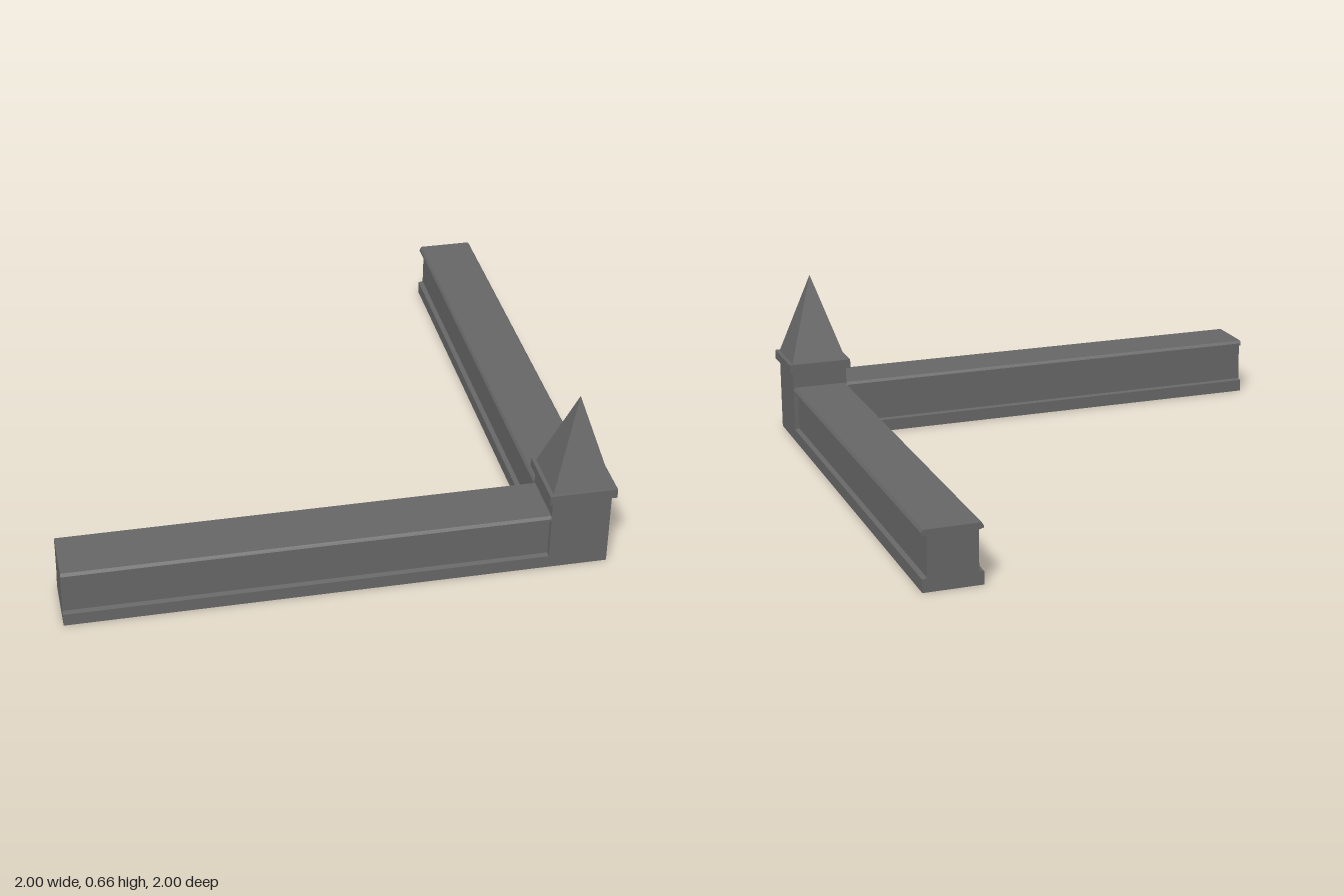
import * as THREE from 'three';

export function createModel() {
  const model = new THREE.Group();
  const stone = new THREE.MeshStandardMaterial({ color: 0x666666 });
  stone.name = 'darkStone';
  const C = 0.875, HALF = 0.11, INNER = C - HALF;

  const add = (name, geometry, x, y, z, ry = 0) => {
    const mesh = new THREE.Mesh(geometry, stone);
    mesh.name = name;
    mesh.position.set(x, y, z);
    mesh.rotation.y = ry;
    model.add(mesh);
  };

  // Wall cross-section: plinth, recessed panel, bevelled coping
  const side = [[HALF, 0], [HALF, 0.048], [0.092, 0.052], [0.092, 0.2],
    [HALF, 0.205], [HALF, 0.214], [0.103, 0.225]];
  const mirrored = side.map(([x, y]) => [-x, y]).reverse();
  const profile = new THREE.Shape([...side, ...mirrored].map(([x, y]) => new THREE.Vector2(x, y)));
  const wall = new THREE.ExtrudeGeometry(profile, { depth: 1 + INNER, bevelEnabled: false });
  add('frontWall', wall, -1, 0, C, Math.PI / 2);
  add('sideWall', wall, C, 0, -1);

  // Corner pillar with a projecting cap and pyramid roof
  add('cornerPillar', new THREE.BoxGeometry(2 * HALF, 0.29, 2 * HALF), C, 0.145, C);
  add('pillarCap', new THREE.BoxGeometry(0.25, 0.036, 0.25), C, 0.307, C);
  const roof = new THREE.ConeGeometry(HALF * Math.SQRT2, 0.335, 4, 1, true)
    .rotateY(Math.PI / 4).toNonIndexed();
  roof.computeVertexNormals();
  add('pyramidRoof', roof, C, 0.4925, C);

  return model;
}
